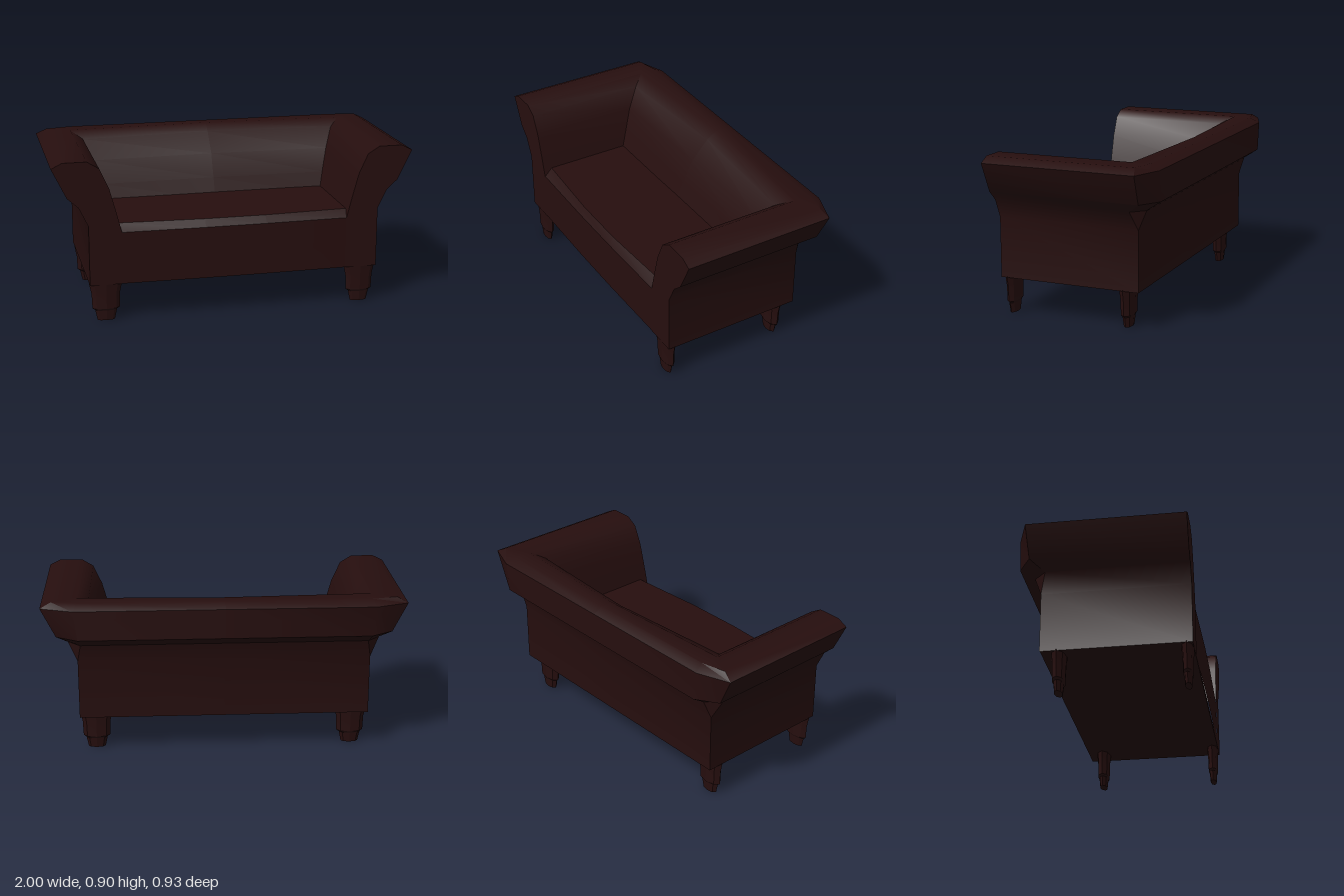
import * as THREE from 'three';
import { toCreasedNormals } from 'three/addons/utils/BufferGeometryUtils.js';

const leather = new THREE.MeshStandardMaterial({ color: 0x260e0e });
leather.name = 'dark maroon leather';

// Skin a surface over a row of equally long cross-sections
function loft(sections, crease = 0.6) {
  const n = sections[0].length, index = [];
  for (let s = 0; s < sections.length - 1; s++) {
    for (let p = 0; p < n - 1; p++) {
      const a = s * n + p, b = a + n;
      index.push(a, b, a + 1, b, b + 1, a + 1);
    }
  }
  const geo = new THREE.BufferGeometry();
  geo.setAttribute('position', new THREE.Float32BufferAttribute(sections.flat(2), 3));
  geo.setIndex(index);
  return toCreasedNormals(geo, crease);
}

function add(parent, name, geo) {
  const mesh = new THREE.Mesh(geo, leather);
  mesh.name = name;
  parent.add(mesh);
  return mesh;
}

// Arm and back profiles, from the outer bottom edge over the top to the seat
const FRONT = 0.46;
const arm = [[0.81, 0.21], [0.81, 0.545], [0.86, 0.65], [0.92, 0.705], [1, 0.87], [0.94, 0.9],
  [0.81, 0.9], [0.745, 0.86], [0.695, 0.75], [0.66, 0.62], [0.63, 0.5]];
const backZ = [-0.345, -0.345, -0.383, -0.465, -0.465, -0.41, -0.31, -0.235, -0.16, -0.11, -0.065];
const backMidZ = [...backZ.slice(0, 6), -0.34, -0.28, -0.18, -0.12, -0.065];
// Chamfered outer corner: z where the arm ends, x where the back begins
const chamferZ = [-0.345, -0.345, -0.315, -0.39, -0.4, -0.38];
const chamferX = [0.81, 0.81, 0.79, 0.8, 0.82, 0.8];

export function createModel() {
  const sofa = new THREE.Group();
  sofa.name = 'sofa';

  // Arms and back as one U-shaped sweep
  const half = [
    arm.map(([x, y]) => [x, y, FRONT]),
    arm.map(([x, y], i) => [x, y, chamferZ[i] ?? backZ[i]]),
    arm.map(([x, y], i) => [chamferX[i] ?? x, y, backZ[i]]),
  ];
  const middle = arm.map(([, y], i) => [0, y, backMidZ[i]]);
  const mirrored = half.map((sec) => sec.map(([x, y, z]) => [-x, y, z])).reverse();
  add(sofa, 'armsAndBack', loft([...half, middle, ...mirrored]));

  // Flat front faces of the arms
  for (const side of [1, -1]) {
    const outline = [...arm, [0.63, 0.21]].map(([x, y]) => new THREE.Vector2(side * x, y));
    const cap = add(sofa, side > 0 ? 'leftArmFront' : 'rightArmFront',
      new THREE.ShapeGeometry(new THREE.Shape(outline)));
    cap.position.z = FRONT;
  }

  // Seat with a slightly bowed, bevelled front
  const seat = [[-0.645, 0.458, 0.41], [-0.17, 0.465, 0.435], [0.17, 0.465, 0.435], [0.645, 0.458, 0.41]]
    .map(([x, front, bevel]) => [[x, 0.21, front], [x, 0.5, front], [x, 0.54, bevel], [x, 0.54, -0.1]]);
  add(sofa, 'seat', loft(seat));

  // Underside
  const bottom = add(sofa, 'underside', new THREE.BoxGeometry(1.616, 0.02, 0.8));
  bottom.position.set(0, 0.22, 0.058);

  // Turned legs, wider than they are deep
  const profile = [[0, 0], [0.048, 0], [0.06, 0.057], [0.075, 0.068], [0.078, 0.15], [0.091, 0.215]]
    .map(([r, y]) => new THREE.Vector2(r, y));
  const legGeo = toCreasedNormals(new THREE.LatheGeometry(profile, 8).toNonIndexed(), 0.5);
  for (const [name, z, depth] of [['front', 0.425, 0.38], ['back', -0.255, 0.47]]) {
    for (const side of [1, -1]) {
      const leg = add(sofa, name + (side > 0 ? 'LeftLeg' : 'RightLeg'), legGeo);
      leg.position.set(side * 0.722, 0, z);
      leg.scale.z = depth;
    }
  }
  return sofa;
}
